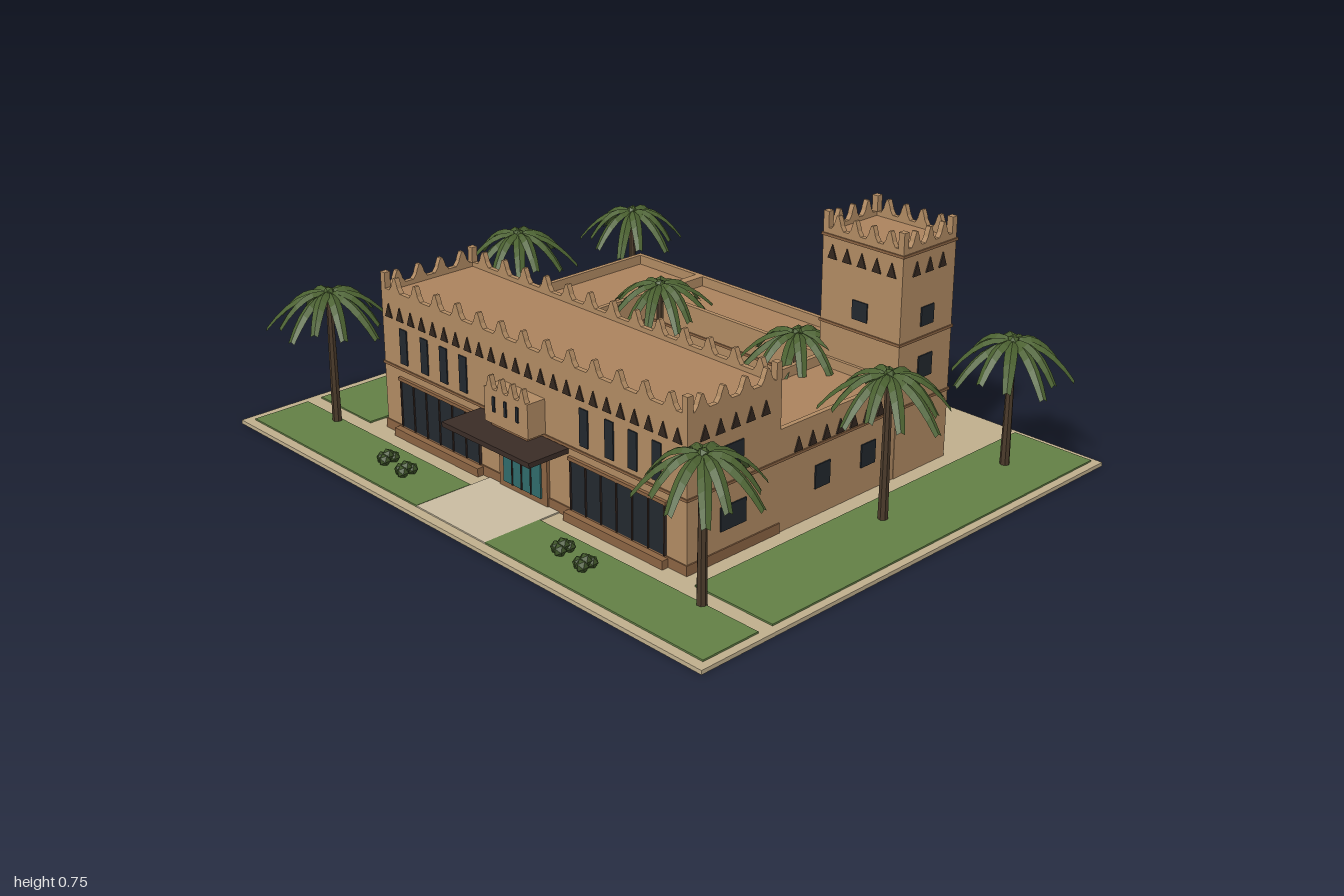
import * as THREE from 'three';

const mat = (color, side = THREE.FrontSide) => new THREE.MeshStandardMaterial({ color, side, flatShading: true });
const M = {
  wall: mat(0xb08a62), roof: mat(0xab825d), trim: mat(0x8a6342), dark: mat(0x22282e), hole: mat(0x33271f),
  door: mat(0x2f6a6a), grass: mat(0x627f45), base: mat(0xbfae8c), paving: mat(0xc8bba0), pool: mat(0x3f87a0),
  wood: mat(0x3a2c26), trunk: mat(0x4a3a2a), leaf: mat(0x4a6030, THREE.DoubleSide), shrub: mat(0x3d5228),
};

function add(parent, name, geo, material, x = 0, y = 0, z = 0) {
  const m = new THREE.Mesh(geo, material);
  m.name = name;
  m.position.set(x, y, z);
  parent.add(m);
  return m;
}

// box given by its min and max on each axis
function box(parent, name, material, x0, x1, y0, y1, z0, z1) {
  add(parent, name, new THREE.BoxGeometry(x1 - x0, y1 - y0, z1 - z0), material,
    (x0 + x1) / 2, (y0 + y1) / 2, (z0 + z1) / 2);
}

function group(parent, name, x = 0, y = 0, z = 0, ry = 0) {
  const g = new THREE.Group();
  g.name = name;
  g.position.set(x, y, z);
  g.rotation.y = ry;
  parent.add(g);
  return g;
}

function extrude(points, depth) {
  const shape = new THREE.Shape(points.map(([x, y]) => new THREE.Vector2(x, y)));
  return new THREE.ExtrudeGeometry(shape, { depth, bevelEnabled: false }).translate(0, 0, -depth / 2);
}
const merlonGeo = extrude([[-0.026, 0], [0.026, 0], [0.015, 0.014], [0.012, 0.024], [0.004, 0.042], [-0.004, 0.042], [-0.012, 0.024], [-0.015, 0.014]], 0.016);
const nicheGeo = extrude([[-0.016, 0], [0.016, 0], [0, 0.042]], 0.006);

// four wall frames of a block: local x runs along the wall, local z points outward
function walls(parent, x0, x1, z0, z1) {
  const cx = (x0 + x1) / 2, cz = (z0 + z1) / 2;
  return {
    front: group(parent, 'frontWall', cx, 0, z1), back: group(parent, 'backWall', cx, 0, z0, Math.PI),
    left: group(parent, 'leftWall', x1, 0, cz, Math.PI / 2), right: group(parent, 'rightWall', x0, 0, cz, -Math.PI / 2),
  };
}
const pane = (w, u, width, y0, y1) => box(w, 'window', M.dark, u - width / 2, u + width / 2, y0, y1, -0.005, 0.004);
function row(w, name, geo, material, length, n, y, z, scale = 1) {
  for (let i = 0; i < n; i++) {
    const m = add(w, name, geo, material, length * ((i + 0.5) / n - 0.5), y, z);
    m.scale.x = scale;
  }
}

// rim around a flat roof
function parapet(parent, x0, x1, z0, z1, y0, y1, t = 0.015) {
  box(parent, 'parapet', M.wall, x0, x1, y0, y1, z0, z0 + t);
  box(parent, 'parapet', M.wall, x0, x1, y0, y1, z1 - t, z1);
  box(parent, 'parapet', M.wall, x0, x0 + t, y0, y1, z0, z1);
  box(parent, 'parapet', M.wall, x1 - t, x1, y0, y1, z0, z1);
}
function course(parent, x0, x1, z0, z1, y) {
  box(parent, 'stringCourse', M.trim, x0 - 0.004, x1 + 0.004, y - 0.004, y + 0.004, z0 - 0.004, z1 + 0.004);
}
function corners(parent, x0, x1, z0, z1, y) {
  for (const x of [x0 + 0.01, x1 - 0.01]) for (const z of [z0 + 0.01, z1 - 0.01])
    add(parent, 'cornerMerlon', new THREE.BoxGeometry(0.02, 0.048, 0.02), M.wall, x, y + 0.024, z);
}

function site(root) {
  const g = group(root, 'site');
  box(g, 'baseSlab', M.base, -1, 0.985, 0, 0.012, -0.82, 0.82);
  const lawns = [[-0.97, -0.71, -0.8, 0.55], [0.69, 0.96, -0.8, 0.55], [-0.97, -0.16, 0.6, 0.79], [0.14, 0.96, 0.6, 0.79]];
  for (const [a, b, c, d] of lawns) box(g, 'lawn', M.grass, a, b, 0.01, 0.017, c, d);
  box(g, 'entrancePath', M.paving, -0.16, 0.14, 0.01, 0.016, 0.53, 0.79);
  box(g, 'courtyardFloor', M.base, -0.37, 0.35, 0.01, 0.018, -0.3, 0.18);
  box(g, 'poolEdge', M.paving, -0.185, 0.165, 0.015, 0.024, -0.18, 0.08);
  box(g, 'poolWater', M.pool, -0.165, 0.145, 0.015, 0.027, -0.16, 0.06);
}

function frontBlock(root) {
  const g = group(root, 'frontBlock'), [x0, x1, z0, z1] = [-0.65, 0.635, 0.18, 0.525];
  box(g, 'body', M.wall, x0, x1, 0.012, 0.445, z0, z1);
  box(g, 'roof', M.roof, x0 + 0.01, x1 - 0.01, 0.44, 0.449, z0 + 0.01, z1 - 0.01);
  parapet(g, x0, x1, z0, z1, 0.44, 0.463);
  course(g, x0, x1, z0, z1, 0.226);
  corners(g, x0, x1, z0, z1, 0.463);
  box(g, 'plinth', M.trim, x0 - 0.004, x1 + 0.004, 0.012, 0.042, z0, z1 + 0.004);
  for (const [a, b] of [[-0.585, -0.19], [0.18, 0.57]]) box(g, 'frontStep', M.trim, a, b, 0.012, 0.038, z1, 0.55);
  const w = walls(g, x0, x1, z0, z1), cx = (x0 + x1) / 2;
  for (const k of ['front', 'back']) {
    row(w[k], 'merlon', merlonGeo, M.wall, 1.25, 13, 0.463, -0.008);
    row(w[k], 'niche', nicheGeo, M.hole, 1.27, 24, 0.377, 0.001);
  }
  for (const k of ['left', 'right']) {
    row(w[k], 'merlon', merlonGeo, M.wall, 0.32, 4, 0.463, -0.008);
    row(w[k], 'niche', nicheGeo, M.hole, 0.28, 5, 0.377, 0.001);
    const s = k === 'left' ? -1 : 1;
    pane(w[k], s * 0.005, 0.07, 0.272, 0.337);
    pane(w[k], s * 0.005, 0.095, 0.095, 0.165);
  }
  // front glazing
  for (const x of [-0.55, -0.45, -0.36, -0.27, 0.245, 0.345, 0.435, 0.525]) pane(w.front, x - cx, 0.033, 0.245, 0.355);
  for (const x of [-0.385, 0.375]) {
    const u = x - cx;
    pane(w.front, u, 0.37, 0.042, 0.19);
    for (let i = -3; i <= 3; i++) box(w.front, 'mullion', M.wood, u + i * 0.061 - 0.002, u + i * 0.061 + 0.002, 0.042, 0.19, 0, 0.008);
    box(w.front, 'lintel', M.trim, u - 0.19, u + 0.19, 0.19, 0.2, 0, 0.01);
  }
  // courtyard glazing
  pane(w.back, 0, 0.66, 0.25, 0.345);
  pane(w.back, 0, 0.64, 0.03, 0.19);
  for (let i = -5; i <= 5; i++) for (const [a, b] of [[0.03, 0.19], [0.25, 0.345]])
    box(w.back, 'mullion', M.wood, i * 0.063 - 0.002, i * 0.063 + 0.002, a, b, 0, 0.007);
}

function entrance(root) {
  const g = group(root, 'entrance');
  box(g, 'doorSurround', M.trim, -0.108, 0.098, 0.012, 0.205, 0.52, 0.535);
  box(g, 'door', M.door, -0.085, 0.075, 0.035, 0.195, 0.52, 0.54);
  for (const x of [-0.045, -0.005, 0.035]) box(g, 'doorMullion', M.wood, x - 0.002, x + 0.002, 0.035, 0.195, 0.53, 0.543);
  box(g, 'canopy', M.wood, -0.195, 0.18, 0.205, 0.22, 0.52, 0.665);
  box(g, 'balcony', M.wall, -0.1, 0.085, 0.232, 0.335, 0.52, 0.587);
  box(g, 'balconyFoot', M.trim, -0.085, 0.07, 0.218, 0.234, 0.52, 0.577);
  const w = group(g, 'balconyFront', -0.0075, 0, 0.587);
  row(w, 'balconyMerlon', merlonGeo, M.wall, 0.185, 4, 0.33, -0.008, 0.7);
  for (const u of [-0.05, 0, 0.05]) pane(w, u, 0.01, 0.27, 0.315);
}

function wings(root) {
  const g = group(root, 'wings');
  const top = 0.316, deck = 0.285;
  const parts = [['rightWing', -0.65, -0.36, -0.52, 0.18], ['leftWing', 0.345, 0.635, -0.3, 0.18], ['backWing', -0.36, 0.345, -0.52, -0.29]];
  for (const [name, x0, x1, z0, z1] of parts) {
    const p = group(g, name);
    box(p, 'body', M.wall, x0, x1, 0.012, deck - 0.002, z0, z1);
    box(p, 'roof', M.roof, x0 + 0.005, x1 - 0.005, 0.27, deck, z0 + 0.005, z1 - 0.005);
    parapet(p, x0, x1, z0, z1, 0.27, top);
    course(p, x0, x1, z0, z1, 0.226);
  }
  const w = walls(g, -0.65, 0.635, -0.52, 0.18), cx = -0.0075, cz = -0.17;
  for (const z of [0.01, -0.18]) {
    pane(w.left, cz - z, 0.06, 0.095, 0.165);
    pane(w.right, z - cz, 0.06, 0.095, 0.165);
  }
  for (const x of [0.17, -0.18, -0.51]) pane(w.back, cx - x, 0.06, 0.095, 0.165);
  for (let z = 0.11; z > -0.5; z -= 0.056) {
    if (z > -0.29) add(w.left, 'niche', nicheGeo, M.hole, cz - z, 0.233, 0.001);
    add(w.right, 'niche', nicheGeo, M.hole, z - cz, 0.233, 0.001);
  }
  for (let x = -0.61; x < 0.33; x += 0.055) add(w.back, 'niche', nicheGeo, M.hole, cx - x, 0.233, 0.001);
}

function tower(root) {
  const g = group(root, 'tower'), [x0, x1, z0, z1] = [0.345, 0.637, -0.525, -0.295];
  box(g, 'body', M.wall, x0, x1, 0.012, 0.675, z0, z1);
  box(g, 'roof', M.roof, x0 + 0.01, x1 - 0.01, 0.67, 0.687, z0 + 0.01, z1 - 0.01);
  parapet(g, x0, x1, z0, z1, 0.67, 0.7);
  for (const y of [0.226, 0.42, 0.68]) course(g, x0, x1, z0, z1, y);
  corners(g, x0, x1, z0, z1, 0.7);
  const w = walls(g, x0, x1, z0, z1);
  for (const k in w) {
    const wide = k === 'front' || k === 'back';
    row(w[k], 'merlon', merlonGeo, M.wall, wide ? 0.25 : 0.18, wide ? 4 : 3, 0.7, -0.008, 0.85);
    row(w[k], 'niche', nicheGeo, M.hole, wide ? 0.27 : 0.17, wide ? 5 : 3, 0.613, 0.001);
    pane(w[k], 0, 0.055, 0.455, 0.512);
    if (k === 'left' || k === 'back') pane(w[k], 0, 0.06, 0.297, 0.365);
  }
}

function pergola(root) {
  const g = group(root, 'pergola');
  for (let i = -8; i <= 8; i++) box(g, 'slat', M.wood, i * 0.04 - 0.004, i * 0.04 + 0.004, 0.2, 0.212, 0.03, 0.145);
  for (const z of [0.045, 0.135]) box(g, 'beam', M.wood, -0.32, 0.32, 0.19, 0.2, z - 0.005, z + 0.005);
  for (const x of [-0.3, -0.1, 0.1, 0.3]) box(g, 'post', M.wood, x - 0.005, x + 0.005, 0.015, 0.195, 0.04, 0.05);
}

// drooping folded leaf swept along +x
function frondGeometry(len, rise, drop) {
  const pos = [], idx = [], n = 6;
  for (let i = 0; i <= n; i++) {
    const t = i / n, x = len * t, y = rise * t - drop * t * t;
    const h = 0.006 + 0.012 * Math.sin(Math.PI * (0.15 + t * 0.7));
    pos.push(x, y - h * 0.6, -h, x, y, 0, x, y - h * 0.6, h);
    if (i < n) for (const k of [0, 1]) {
      const a = i * 3 + k;
      idx.push(a, a + 1, a + 3, a + 1, a + 4, a + 3);
    }
  }
  const geo = new THREE.BufferGeometry();
  geo.setAttribute('position', new THREE.Float32BufferAttribute(pos, 3));
  geo.setIndex(idx);
  geo.computeVertexNormals();
  return geo;
}

function palm(root, x, z, h, seed) {
  const g = group(root, 'palm', x, 0, z, seed * 1.3);
  add(g, 'trunk', new THREE.CylinderGeometry(0.01, 0.015, h, 7), M.trunk, 0, h / 2, 0);
  add(g, 'crown', new THREE.IcosahedronGeometry(0.018, 0), M.leaf, 0, h, 0);
  for (let i = 0; i < 13; i++) {
    const k = (i * 7 + seed * 3) % 5;
    const f = add(g, 'frond', frondGeometry(0.145 + k * 0.011, 0.09 - k * 0.012, 0.17 - k * 0.006), M.leaf, 0, h, 0);
    f.rotation.y = (i + 0.08 * k) * Math.PI * 2 / 13;
  }
}

export function createModel() {
  const root = new THREE.Group();
  root.name = 'courtyardBuilding';
  [site, frontBlock, entrance, wings, tower, pergola].forEach((build) => build(root));
  const palms = [[-0.81, -0.63, 0.4], [-0.81, -0.13, 0.435], [-0.79, 0.615, 0.43], [0.8, -0.6, 0.4],
    [0.78, -0.08, 0.44], [0.77, 0.605, 0.43], [-0.29, -0.265, 0.365], [0.28, -0.27, 0.365]];
  palms.forEach(([x, z, h], i) => palm(root, x, z, h, i + 1));
  for (const [x, z] of [[-0.44, 0.68], [-0.34, 0.69], [0.325, 0.675], [0.43, 0.69]])
    for (let i = 0; i < 5; i++) {
      const a = i * 1.257, r = i ? 0.017 : 0;
      add(root, 'shrub', new THREE.IcosahedronGeometry(0.019, 0), M.shrub, x + r * Math.cos(a), i ? 0.03 : 0.04, z + r * Math.sin(a));
    }
  return root;
}
